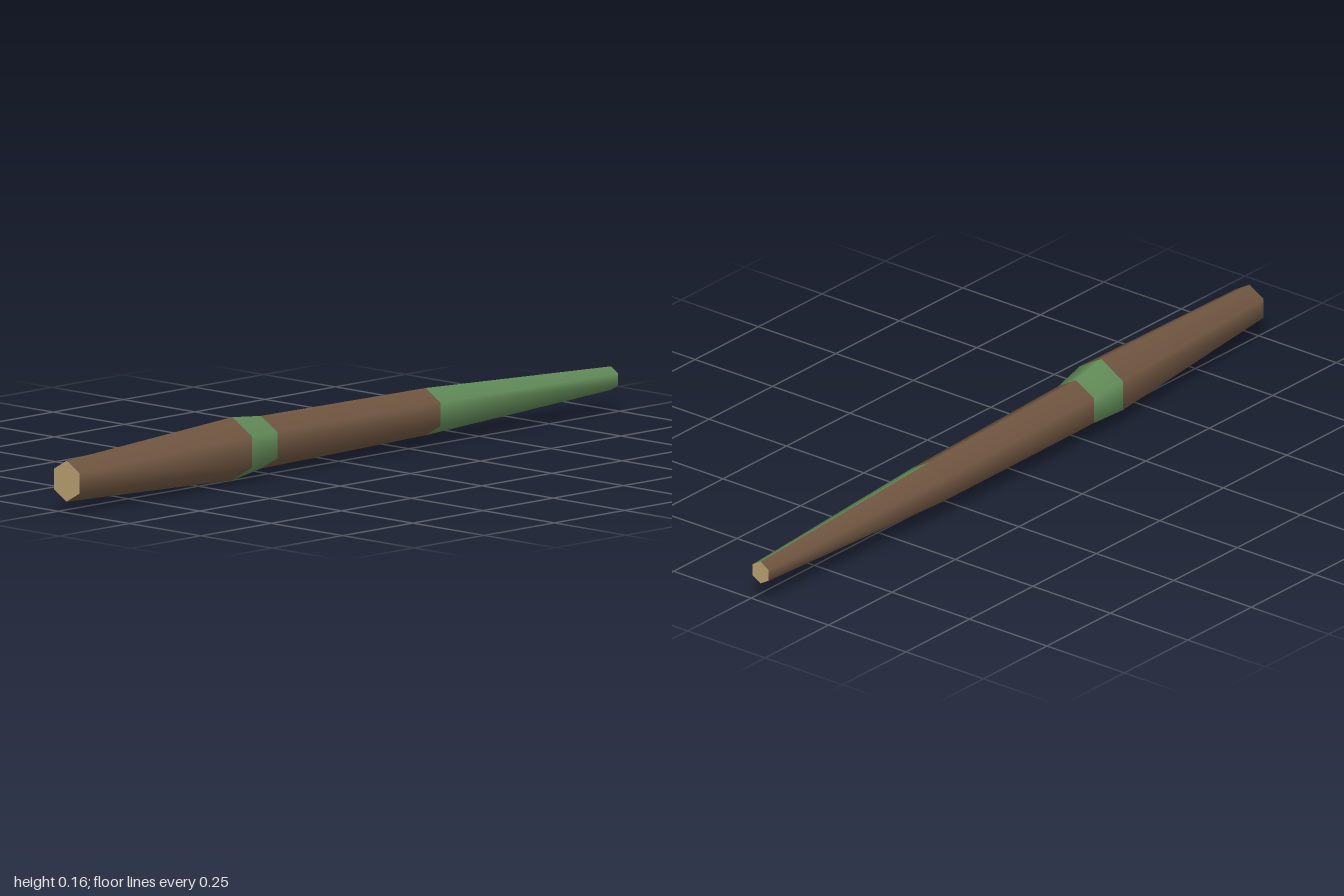
import * as THREE from 'three';

export function createModel() {
  const log = new THREE.Group();
  log.name = 'log';

  const material = (name, color) => {
    const m = new THREE.MeshStandardMaterial({ color });
    m.name = name;
    return m;
  };
  const bark = material('brown bark', 0x705641);
  const moss = material('green moss', 0x628c58);
  const wood = material('pale cut wood', 0xb89f70);

  const AXIS_Y = 0.081;
  // Hexagonal stations along the log: x, radius, sideways offset of the centre
  const stations = [
    { x: -1, r: 0.052, z: 0.03 },
    { x: -0.38, r: 0.08, z: 0 },
    { x: -0.265, r: 0.067, z: -0.013 },
    { x: 0.335, r: 0.06, z: -0.026 },
    { x: 1, r: 0.03, z: -0.031 },
  ];

  const add = (name, geometry, mat) => {
    const mesh = new THREE.Mesh(geometry, mat);
    mesh.name = name;
    log.add(mesh);
  };

  // Open tapered piece between two stations, leaned sideways to meet both centres
  function piece(name, index, mat, sides = 6, start = -Math.PI / 2) {
    const a = stations[index], b = stations[index + 1];
    const g = new THREE.CylinderGeometry(b.r, a.r, b.x - a.x, sides, 1, true, start, sides * Math.PI / 3);
    g.rotateZ(-Math.PI / 2);
    g.translate((a.x + b.x) / 2, AXIS_Y, 0);
    const p = g.attributes.position;
    for (let i = 0; i < p.count; i++) {
      const t = (p.getX(i) - a.x) / (b.x - a.x);
      p.setZ(i, p.getZ(i) + THREE.MathUtils.lerp(a.z, b.z, t));
    }
    add(name, g, mat);
  }

  piece('thickBark', 0, bark);
  piece('mossBand', 1, moss);
  piece('middleBark', 2, bark);
  // The thin end is mossy on its front half only
  piece('mossPatch', 3, moss, 3, -Math.PI / 2);
  piece('thinBark', 3, bark, 3, Math.PI / 2);

  // Cut ends
  function cutEnd(name, s, side) {
    const g = new THREE.CircleGeometry(s.r, 6, Math.PI / 2);
    g.rotateY(side * Math.PI / 2);
    g.translate(s.x, AXIS_Y, s.z);
    add(name, g, wood);
  }
  cutEnd('thickCutEnd', stations[0], -1);
  cutEnd('thinCutEnd', stations[4], 1);

  return log;
}
